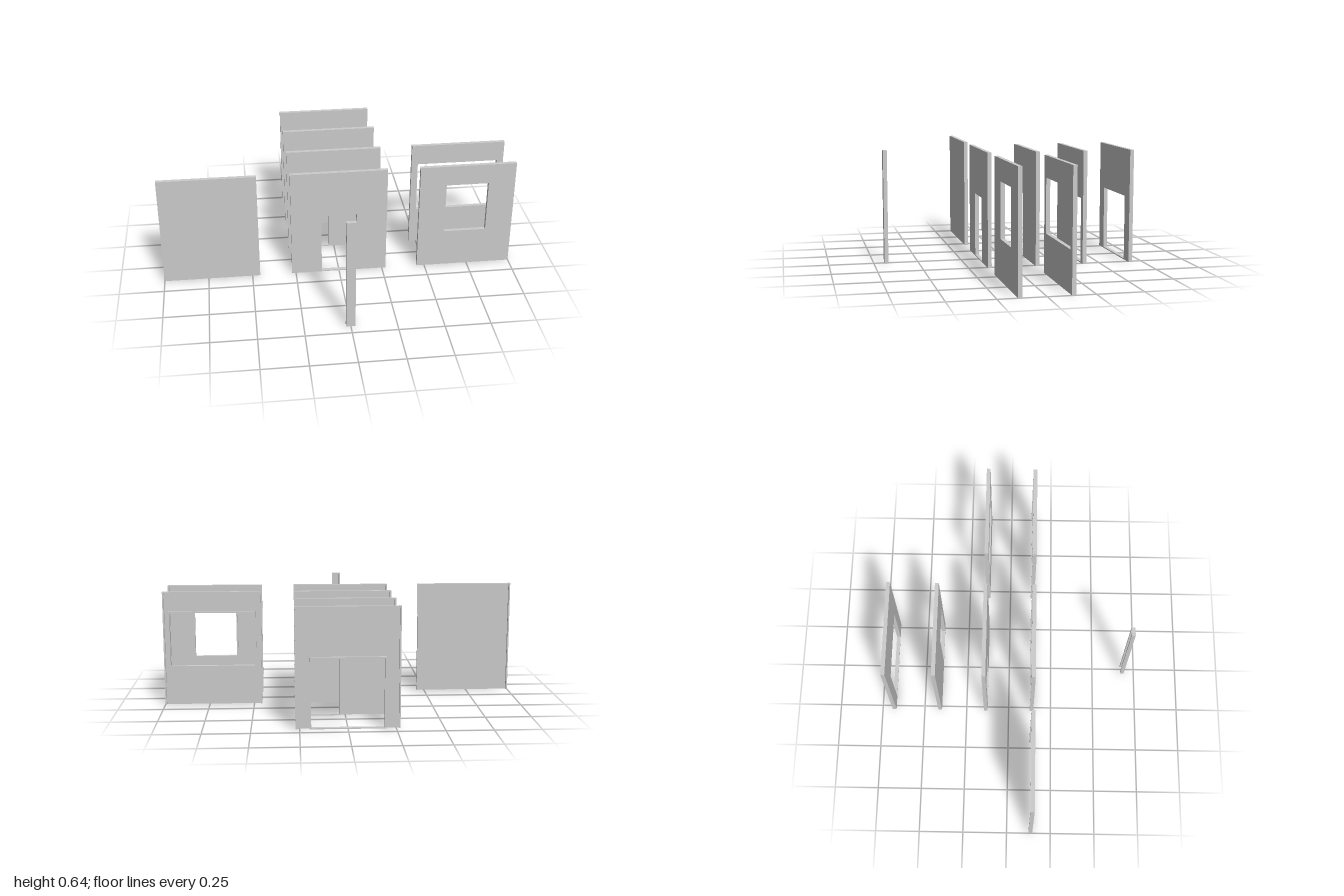
import * as THREE from 'three';

const H = 0.64;      // panel height
const W = 0.544;     // panel width
const DEPTH = 0.022; // overall thickness
const SHEET = 0.006; // front skin thickness
const RIM = 0.008;   // flange thickness
const SILL = 0.006;  // thin threshold under doorways

const material = new THREE.MeshStandardMaterial({ color: 0xcccccc });

// Closed rectangle, usable as an outline or a hole
function rect(Type, x0, x1, y0, y1) {
  const p = new Type();
  p.moveTo(x0, y0);
  p.lineTo(x1, y0);
  p.lineTo(x1, y1);
  p.lineTo(x0, y1);
  p.closePath();
  return p;
}

function plate(name, shape, z0, z1) {
  const geometry = new THREE.ExtrudeGeometry(shape, { depth: z1 - z0, bevelEnabled: false });
  geometry.translate(0, 0, z0);
  const mesh = new THREE.Mesh(geometry, material);
  mesh.name = name;
  return mesh;
}

// Pressed panel: flat front skin, flanges turned back along the sides and top,
// and an optional framed opening [x0, x1, y0, y1]
function panel(name, width, x, z, opening) {
  const group = new THREE.Group();
  group.name = name;
  const w = width / 2;
  const back = -DEPTH / 2;
  const skinBack = DEPTH / 2 - SHEET;

  // Front skin
  const skin = rect(THREE.Shape, -w, w, 0, H);
  if (opening) skin.holes.push(rect(THREE.Path, ...opening));
  group.add(plate('frontSkin', skin, skinBack, DEPTH / 2));

  // Side and top flange, open at the foot
  const rim = new THREE.Shape([
    [-w, 0], [-w + RIM, 0], [-w + RIM, H - RIM], [w - RIM, H - RIM],
    [w - RIM, 0], [w, 0], [w, H], [-w, H],
  ].map(([px, py]) => new THREE.Vector2(px, py)));
  group.add(plate('edgeFlange', rim, back, skinBack));

  // Frame around the opening
  if (opening) {
    const [x0, x1, y0, y1] = opening;
    const frame = rect(THREE.Shape, x0 - RIM, x1 + RIM, Math.max(0, y0 - RIM), y1 + RIM);
    frame.holes.push(rect(THREE.Path, ...opening));
    group.add(plate('openingFrame', frame, back, skinBack));
  }

  group.position.set(x, 0, z);
  return group;
}

export function createModel() {
  const model = new THREE.Group();
  model.name = 'wallPanelKit';

  const SIDE = 0.728;  // column offset of the outer panels
  const ROW = 0.136;   // half the spacing between rows
  const door = (x0, x1) => [x0, x1, SILL, 0.37];
  const windowHole = (half) => [-half, half, 0.222, 0.522];

  model.add(
    panel('cornerPost', 0.05, 0, 5 * ROW),
    panel('plainWall', W, -SIDE, ROW),
    // Doorway walls, one behind another
    panel('centreDoorWall', W, 0, ROW, door(-0.1, 0.1)),
    panel('rightDoorWall', W, 0, -ROW, door(-0.23, -0.032)),
    panel('leftDoorWall', W, 0, -3 * ROW, door(0.032, 0.23)),
    panel('wideDoorWall', W, 0, -5 * ROW, door(-0.19, 0.19)),
    // Window walls
    panel('windowWall', W, SIDE, ROW, windowHole(0.12)),
    panel('wideWindowWall', W, SIDE, -ROW, windowHole(0.235)),
  );
  return model;
}
